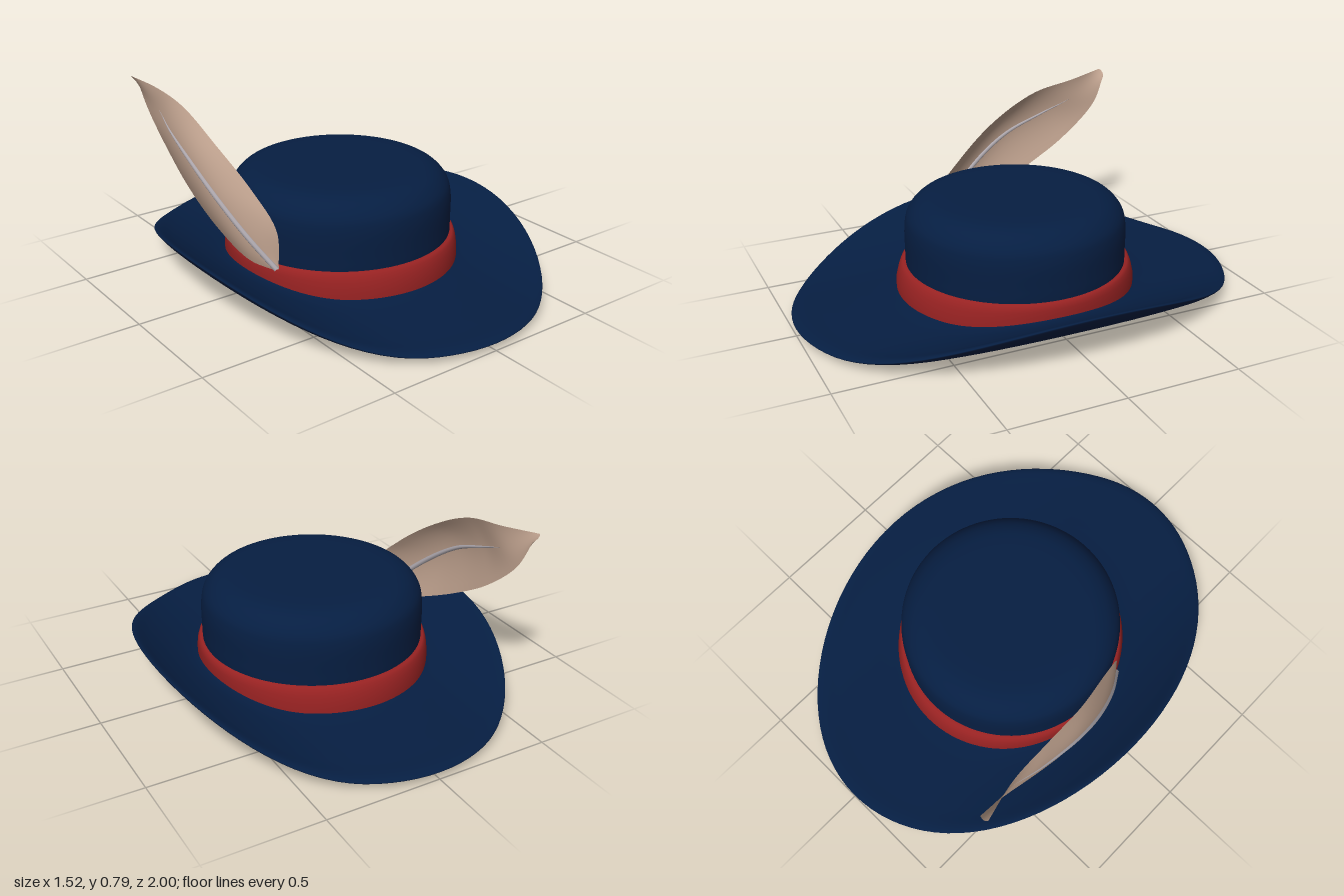
import * as THREE from 'three';
import { mergeVertices } from 'three/addons/utils/BufferGeometryUtils.js';

const { clamp } = THREE.MathUtils;

const material = (name, color, side = THREE.FrontSide) => {
  const m = new THREE.MeshStandardMaterial({ color, side });
  m.name = name;
  return m;
};

const curve = (points) =>
  new THREE.CatmullRomCurve3(points.map((p) => new THREE.Vector3(p[0], p[1], p[2] ?? 0)));

const part = (name, geometry, mat) => {
  const mesh = new THREE.Mesh(geometry, mat);
  mesh.name = name;
  return mesh;
};

// Lathe a profile, move each vertex by a rule, and weld the seam for smooth normals
function shapedLathe(profile, rule) {
  const geometry = new THREE.LatheGeometry(profile, 96);
  const pos = geometry.attributes.position;
  const v = new THREE.Vector3();
  for (let i = 0; i < pos.count; i++) {
    rule(v.fromBufferAttribute(pos, i));
    pos.setXYZ(i, v.x, v.y, v.z);
  }
  geometry.deleteAttribute('uv');
  geometry.deleteAttribute('normal');
  const welded = mergeVertices(geometry, 1e-5);
  welded.computeVertexNormals();
  return welded;
}

// Height by which the sides of the brim curl up
const curl = (x) => 0.185 * Math.max(0, (Math.abs(x) - 0.25) / 0.51) ** 2.25;

// Hollow crown and brim: one lathe, narrowed in x and curled up at the sides
function hatGeometry() {
  const profile = curve([
    [0, 0.435], [0.3, 0.43], [0.39, 0.4], [0.425, 0.33], [0.43, 0.2], [0.435, 0.1],
    [0.452, 0.045], [0.49, 0.014], [0.55, 0.002], [0.7, 0], [0.88, 0.008], [0.97, 0.019],
    [1, 0.032], [0.975, 0.043], [0.88, 0.047], [0.7, 0.053], [0.58, 0.06],
    [0.515, 0.073], [0.487, 0.1], [0.484, 0.2], [0.483, 0.34], [0.47, 0.395],
    [0.432, 0.44], [0.385, 0.463], [0.33, 0.471], [0.2, 0.474], [0, 0.476],
  ]).getPoints(150).map((p) => new THREE.Vector2(Math.max(p.x, 0), p.y));
  return shapedLathe(profile, (v) => {
    const r = Math.hypot(v.x, v.z);
    if (r > 0.485) v.x *= (0.485 + (r - 0.485) * (0.275 / 0.515)) / r;
    v.y += curl(v.x) * clamp((0.35 - v.y) / 0.25, 0, 1);
  });
}

// Ribbon around the foot of the crown, flaring front and back towards the brim
function bandGeometry() {
  const profile = [[0.505, 0.055], [0.505, 0.1], [0.504, 0.14], [0.5, 0.164], [0.492, 0.175], [0.47, 0.177]]
    .map(([x, y]) => new THREE.Vector2(x, y));
  return shapedLathe(profile, (v) => {
    v.z *= 1.01 + 0.04 * clamp((0.177 - v.y) / 0.08, 0, 1);
    v.y += curl(v.x) * clamp((0.16 - v.y) / 0.1, 0, 1);
  });
}

// Feather vane: cross-sections from the upper edge over the spine to the lower edge
const spine = curve([
  [-0.47, 0.165, 0.2], [-0.535, 0.29, 0.08], [-0.585, 0.43, -0.08], [-0.602, 0.535, -0.24],
  [-0.59, 0.615, -0.43], [-0.568, 0.685, -0.59], [-0.595, 0.782, -0.755],
]);
const upperEdge = curve([
  [-0.46, 0.165, 0.2], [-0.46, 0.33, 0.19], [-0.49, 0.47, 0.06], [-0.535, 0.62, -0.14],
  [-0.555, 0.73, -0.36], [-0.568, 0.768, -0.57], [-0.61, 0.792, -0.745],
]);
const lowerEdge = curve([
  [-0.475, 0.16, 0.19], [-0.52, 0.175, 0.07], [-0.55, 0.255, -0.12], [-0.56, 0.365, -0.33],
  [-0.555, 0.485, -0.52], [-0.558, 0.64, -0.69], [-0.572, 0.765, -0.75],
]);

function vaneGeometry(rows = 40, cols = 12) {
  const positions = [];
  const index = [];
  for (let i = 0; i <= rows; i++) {
    const [a, b, c] = [upperEdge, spine, lowerEdge].map((k) => k.getPoint(i / rows));
    // Quadratic arch passing through the spine at its middle
    const control = b.clone().multiplyScalar(2).addScaledVector(a, -0.5).addScaledVector(c, -0.5);
    const arch = new THREE.QuadraticBezierCurve3(a, control, c);
    for (let j = 0; j <= cols; j++) {
      positions.push(...arch.getPoint(j / cols).toArray());
      if (i < rows && j < cols) {
        const k = i * (cols + 1) + j;
        const n = k + cols + 1;
        index.push(k, k + 1, n, k + 1, n + 1, n);
      }
    }
  }
  const geometry = new THREE.BufferGeometry();
  geometry.setAttribute('position', new THREE.Float32BufferAttribute(positions, 3));
  geometry.setIndex(index);
  geometry.computeVertexNormals();
  return geometry;
}

// Quill following the spine, tapering to a point short of the feather tip
function quillGeometry(steps = 48, sides = 8) {
  const points = [];
  for (let i = 0; i <= 24; i++) points.push(spine.getPoint((i / 24) * 0.81));
  const path = new THREE.CatmullRomCurve3(points);
  const geometry = new THREE.TubeGeometry(path, steps, 0.012, sides);
  const pos = geometry.attributes.position;
  const v = new THREE.Vector3();
  for (let i = 0; i < pos.count; i++) {
    const t = Math.floor(i / (sides + 1)) / steps;
    v.fromBufferAttribute(pos, i).lerp(path.getPointAt(t), t ** 3);
    pos.setXYZ(i, v.x, v.y, v.z);
  }
  return geometry;
}

export function createModel() {
  const navy = material('navy felt', 0x061e42);
  const red = material('red ribbon', 0x982222);
  const tan = material('tan feather', 0xbc9f8c, THREE.DoubleSide);
  const grey = material('grey quill', 0xaca6ac);

  const feather = new THREE.Group();
  feather.name = 'feather';
  feather.add(part('featherVane', vaneGeometry(), tan), part('featherQuill', quillGeometry(), grey));

  const model = new THREE.Group();
  model.name = 'featheredHat';
  model.add(part('crownAndBrim', hatGeometry(), navy), part('hatBand', bandGeometry(), red), feather);
  return model;
}
